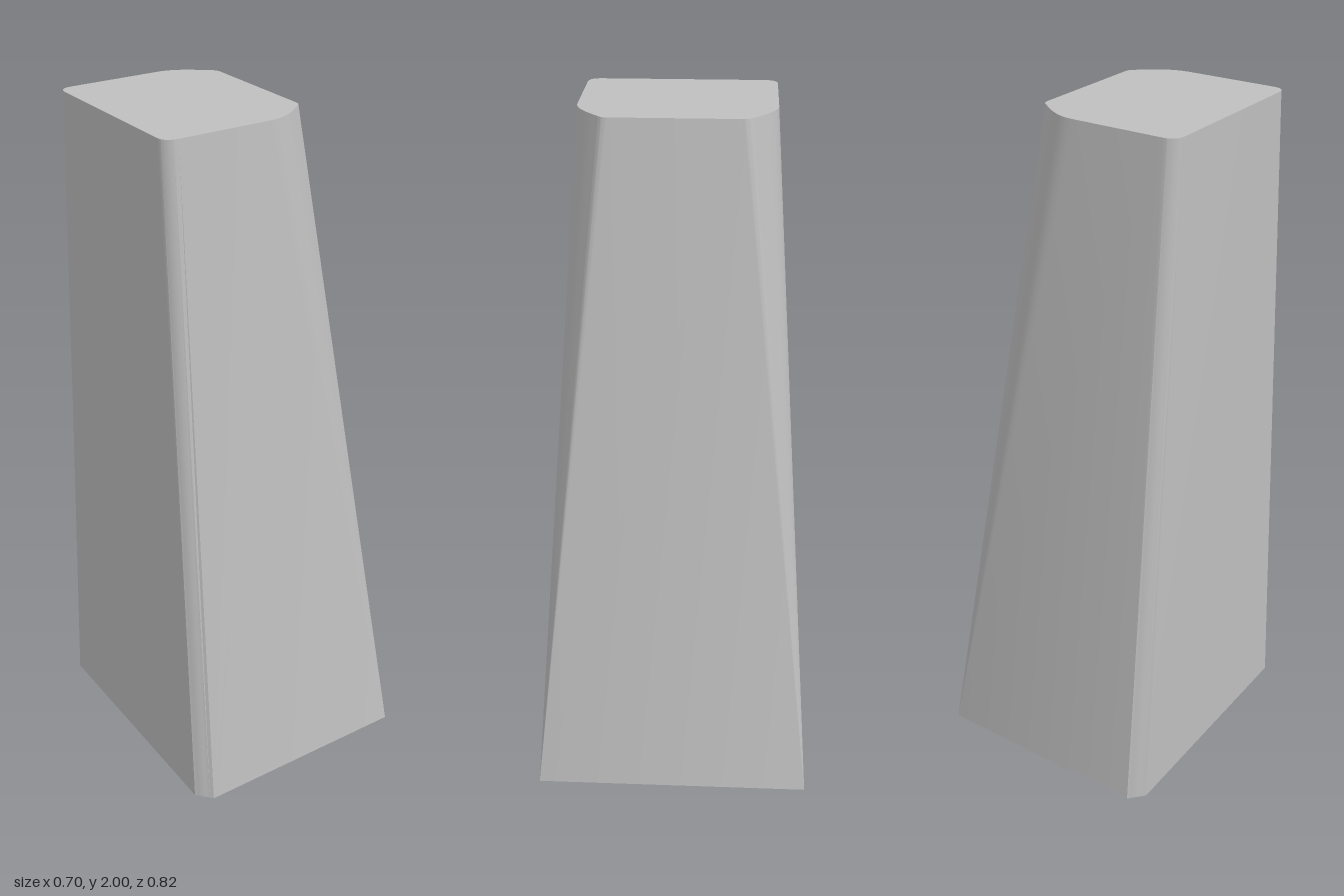
import * as THREE from 'three';
import { toCreasedNormals } from 'three/addons/utils/BufferGeometryUtils.js';

// Matching foot and top outlines for the +z half, from the upright -x side to the sloping +x side
function halfOutline() {
  const pairs = [];
  const add = (foot, top) => pairs.push({ foot, top });
  const v = (x, z) => new THREE.Vector2(x, z);

  // chamfer at the foot becoming a small round corner at the top
  const n = 5;
  const corner = new THREE.QuadraticBezierCurve(v(-0.35, 0.237), v(-0.347, 0.27), v(-0.31, 0.27));
  for (let i = 0; i <= n; i++) {
    add(v(-0.35, 0.365).lerp(v(-0.31, 0.408), i / n), corner.getPoint(i / n));
  }

  // sharp foot corner fanning out into the wide round corner at the top
  const foot = v(0.35, 0.408);
  const sweep = new THREE.CubicBezierCurve(v(-0.05, 0.27), v(0.0, 0.27), v(0.03, 0.25), v(0.086, 0.203));
  const tip = new THREE.QuadraticBezierCurve(v(0.086, 0.203), v(0.1, 0.194), v(0.1, 0.178));
  for (const p of sweep.getPoints(10)) add(foot, p);
  for (const p of tip.getPoints(5).slice(1)) add(foot, p);
  return pairs;
}

function loftGeometry(height) {
  const half = halfOutline();
  const flip = (p) => new THREE.Vector2(p.x, -p.y);
  const ring = [...half, ...half.map((p) => ({ foot: flip(p.foot), top: flip(p.top) })).reverse()];
  const positions = [];
  const tri = (...corners) => corners.forEach((c) => positions.push(c.x, c.y, c.z));
  const at = (p, y) => new THREE.Vector3(p.x, y, p.y);
  const footCentre = new THREE.Vector3(0, 0, 0);
  const topCentre = new THREE.Vector3(-0.12, height, 0);

  ring.forEach((p, i) => {
    const q = ring[(i + 1) % ring.length];
    const a = at(p.foot, 0), b = at(q.foot, 0);
    const c = at(q.top, height), d = at(p.top, height);
    // walls, leaving out collapsed triangles at the sharp corners
    if (a.distanceTo(b) > 1e-5) {
      tri(a, b, c);
      tri(footCentre, b, a);
    }
    tri(a, c, d);
    tri(topCentre, d, c);
  });

  const geometry = new THREE.BufferGeometry();
  geometry.setAttribute('position', new THREE.Float32BufferAttribute(positions, 3));
  return toCreasedNormals(geometry, 0.5);
}

export function createModel() {
  const grey = new THREE.MeshStandardMaterial({ color: 0xbfbfbf });
  grey.name = 'light grey';

  const pillar = new THREE.Mesh(loftGeometry(2), grey);
  pillar.name = 'taperedPillar';

  const model = new THREE.Group();
  model.name = 'pillar';
  model.add(pillar);
  return model;
}
